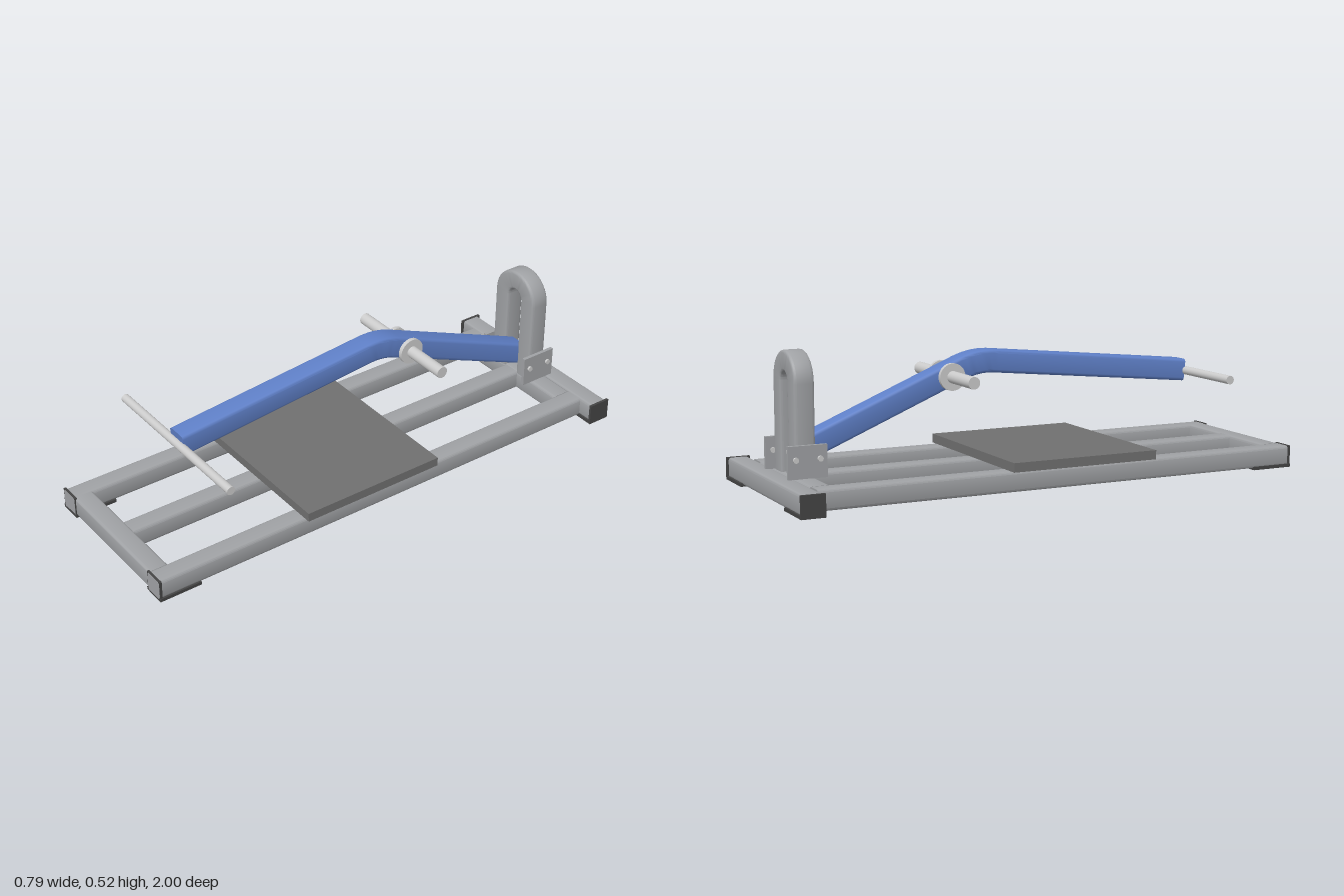
import * as THREE from 'three';
import { toCreasedNormals } from 'three/addons/utils/BufferGeometryUtils.js';

const mat = (color) => new THREE.MeshStandardMaterial({ color });
const V = (x, y, z) => new THREE.Vector3(x, y, z);

// Rounded square cross-section, anticlockwise
function section(w, r) {
  const pts = [], h = w / 2 - r;
  [[1, 1], [-1, 1], [-1, -1], [1, -1]].forEach(([sx, sy], q) => {
    for (let k = 0; k <= 3; k++) {
      const a = (q + k / 3) * Math.PI / 2;
      pts.push([sx * h + r * Math.cos(a), sy * h + r * Math.sin(a)]);
    }
  });
  return pts;
}

// Square tube swept along a planar path; axis is the normal of the path's plane
function squareTube(path, axis, w, r = 0.01) {
  const sec = section(w, r), n = sec.length, pos = [], idx = [];
  path.forEach((p, i) => {
    const a = p.clone().sub(path[Math.max(i - 1, 0)]).normalize();
    const b = path[Math.min(i + 1, path.length - 1)].clone().sub(p).normalize();
    const t = a.clone().add(b).normalize();
    const miter = 1 / Math.max(t.dot(a), t.dot(b));
    const side = t.clone().cross(axis);
    for (const [u, v] of sec) {
      const q = p.clone().addScaledVector(axis, u).addScaledVector(side, v * miter);
      pos.push(q.x, q.y, q.z);
    }
  });
  const last = (path.length - 1) * n;
  for (let i = 0; i < last; i += n) {
    for (let j = 0; j < n; j++) {
      const k = (j + 1) % n;
      idx.push(i + j, i + k, i + n + k, i + j, i + n + k, i + n + j);
    }
  }
  for (let j = 1; j < n - 1; j++) idx.push(0, j + 1, j, last, last + j, last + j + 1);
  const g = new THREE.BufferGeometry();
  g.setAttribute('position', new THREE.Float32BufferAttribute(pos, 3));
  g.setIndex(idx);
  return toCreasedNormals(g, 0.6);
}

export function createModel() {
  const model = new THREE.Group();
  const frame = mat(0xa0a2a5), steel = mat(0xcccccc), blue = mat(0x5f80c8);
  const padGrey = mat(0x707070), rubber = mat(0x444444);
  const X = V(1, 0, 0), Y = V(0, 1, 0), Z = V(0, 0, 1);

  const add = (name, geo, material) => {
    const m = new THREE.Mesh(geo, material);
    m.name = name;
    model.add(m);
    return m;
  };
  // Box given by its lower and upper limits
  const box = (name, x0, x1, y0, y1, z0, z1, material) =>
    add(name, new THREE.BoxGeometry(x1 - x0, y1 - y0, z1 - z0), material)
      .position.set((x0 + x1) / 2, (y0 + y1) / 2, (z0 + z1) / 2);
  // Round bar lying along x
  const bar = (name, x0, x1, y, z, r, material) =>
    add(name, new THREE.CylinderGeometry(r, r, x1 - x0, 32).rotateZ(Math.PI / 2), material)
      .position.set((x0 + x1) / 2, y, z);

  // Base frame
  const T = 0.075, cy = 0.043;
  const tube = (name, a, b) => add(name, squareTube([a, b], Y, T), frame);
  for (const s of [-1, 1]) tube('sideRail', V(s * 0.292, cy, -0.915), V(s * 0.292, cy, 0.995));
  tube('centreRail', V(0, cy, -0.845), V(0, cy, 0.92));
  tube('frontCrossbar', V(-0.26, cy, 0.953), V(0.26, cy, 0.953));
  tube('innerCrossbar', V(-0.26, cy, -0.88), V(0.26, cy, -0.88));
  tube('rearCrossbar', V(-0.389, cy, -0.955), V(0.389, cy, -0.955));

  // Rubber end caps with soles, and the bolted side plates of the arch
  for (const s of [-1, 1]) {
    const side = (name, x0, x1, ...rest) =>
      box(name, Math.min(s * x0, s * x1), Math.max(s * x0, s * x1), ...rest);
    side('frontSole', 0.247, 0.336, 0, 0.012, 0.83, 0.995, rubber);
    side('frontEndCap', 0.251, 0.333, 0.002, 0.082, 0.985, 0.994, rubber);
    side('rearSole', 0.23, 0.397, 0, 0.012, -1, -0.911, rubber);
    side('rearEndCap', 0.387, 0.397, 0.002, 0.082, -1, -0.911, rubber);
    side('archPlate', 0.11, 0.124, 0.08, 0.197, -0.945, -0.8, frame);
    for (const z of [-0.827, -0.917]) {
      bar('plateBolt', Math.min(s * 0.105, s * 0.132), Math.max(s * 0.105, s * 0.132), 0.148, z, 0.01, steel);
    }
  }

  // Upright arch
  const arch = [V(-0.0725, 0.08, -0.875)];
  for (let i = 0; i <= 24; i++) {
    const a = Math.PI * (1 - i / 24);
    arch.push(V(0.0725 * Math.cos(a), 0.407 + 0.0725 * Math.sin(a), -0.875));
  }
  arch.push(V(0.0725, 0.08, -0.875));
  add('arch', squareTube(arch, Z, T), frame);

  // Foot platform
  box('platform', -0.35, 0.35, 0.081, 0.115, -0.19, 0.39, padGrey);

  // Bent lever arm with its pivot sleeve
  const bend = new THREE.QuadraticBezierCurve3(V(0, 0.434, -0.1), V(0, 0.443, -0.17), V(0, 0.417, -0.235));
  const arm = [V(0, 0.355, 0.7), ...bend.getPoints(8), V(0, 0.162, -0.855)];
  add('leverArm', squareTube(arm, X, 0.084, 0.012), blue);
  bar('pivotSleeve', -0.037, 0.037, 0.15, -0.865, 0.03, steel);

  // Weight posts with collars, and the handle
  bar('weightPost', -0.237, 0.237, 0.39, -0.29, 0.0225, steel);
  for (const s of [-1, 1]) bar('weightCollar', s * 0.05 - 0.008, s * 0.05 + 0.008, 0.39, -0.29, 0.05, steel);
  bar('handle', -0.35, 0.35, 0.353, 0.706, 0.016, steel);

  return model;
}
